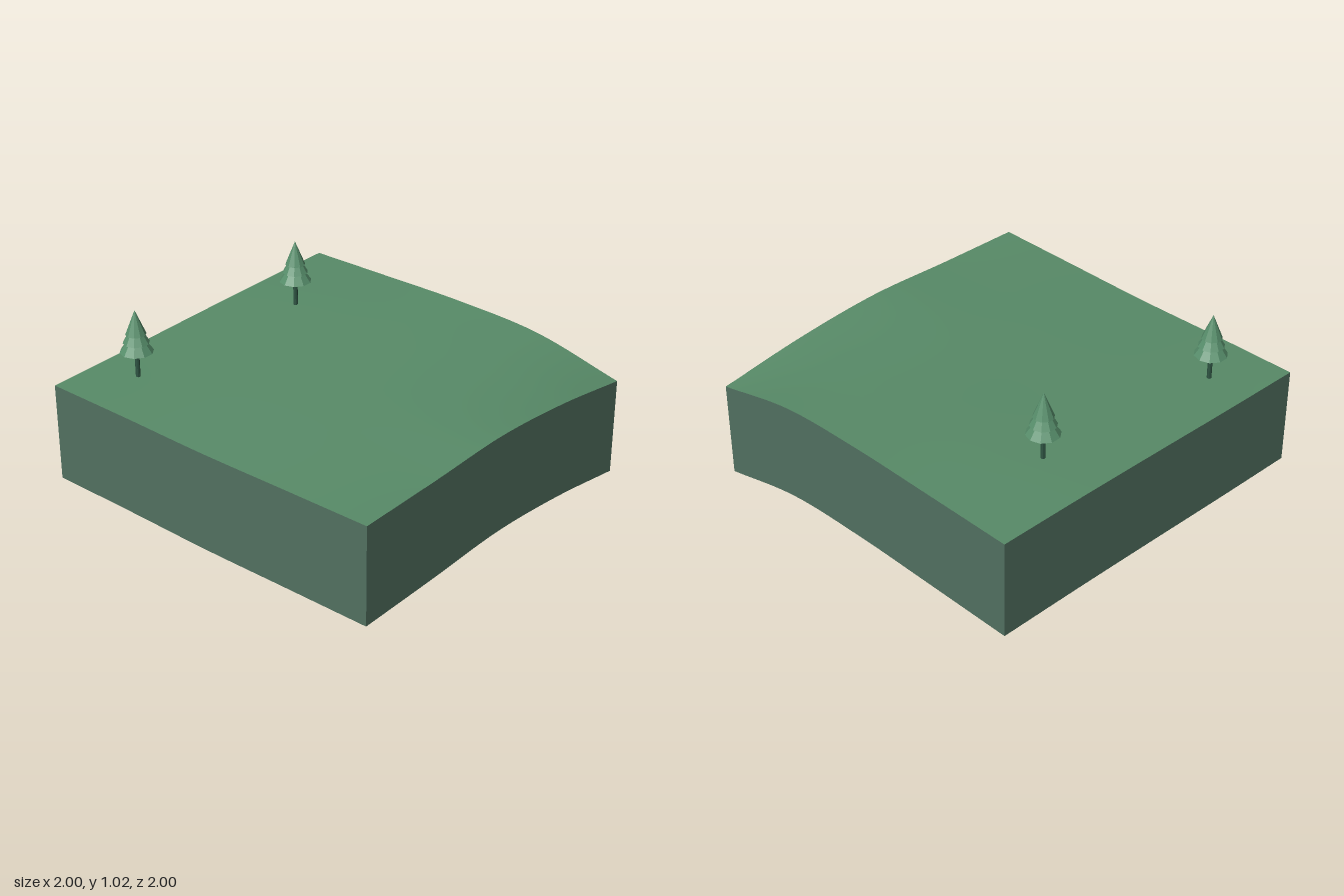
import * as THREE from 'three';

const SKIRT = 0.53;
const SEG = 32;

// Control heights of the rolling ground: rows run back to front, columns run along +x
const HEIGHTS = [
  [0.670, 0.674, 0.675, 0.648, 0.535],
  [0.665, 0.667, 0.667, 0.655, 0.610],
  [0.655, 0.655, 0.655, 0.655, 0.651],
  [0.643, 0.643, 0.643, 0.643, 0.641],
  [0.635, 0.632, 0.625, 0.630, 0.635],
];

// Smooth interpolation through five evenly spaced values, t in -1..1
function spline(v, t) {
  const s = (t + 1) * 2;
  const i = Math.min(3, Math.max(0, Math.floor(s)));
  const f = s - i;
  const b = v[i], c = v[i + 1];
  const a = i > 0 ? v[i - 1] : 2 * b - c;
  const d = i < 3 ? v[i + 2] : 2 * c - b;
  return b + 0.5 * f * (c - a + f * (2 * a - 5 * b + 4 * c - d + f * (3 * (b - c) + d - a)));
}

const groundHeight = (x, z) => spline(HEIGHTS.map((row) => spline(row, x)), z);

export function createModel() {
  const group = new THREE.Group();
  const material = (name, color, side = THREE.FrontSide, flatShading = false) =>
    new THREE.MeshStandardMaterial({ name, color, side, flatShading });
  const grass = material('grass green', 0x588b68, THREE.DoubleSide);
  const earth = material('earth grey green', 0x527161, THREE.DoubleSide);
  const needles = material('needle green', 0x588f6c, THREE.FrontSide, true);
  const bark = material('bark dark green', 0x2f5443, THREE.FrontSide, true);

  const add = (parent, geometry, mat, name) => {
    const mesh = new THREE.Mesh(geometry, mat);
    mesh.name = name;
    parent.add(mesh);
    return mesh;
  };

  // Curved ground surface
  const ground = new THREE.PlaneGeometry(2, 2, SEG, SEG).rotateX(-Math.PI / 2);
  const gp = ground.attributes.position;
  for (let i = 0; i < gp.count; i++) gp.setY(i, groundHeight(gp.getX(i), gp.getZ(i)));
  ground.computeVertexNormals();
  add(group, ground, grass, 'ground');

  // Four skirt walls that follow the ground edge, open underneath
  ['frontWall', 'leftWall', 'backWall', 'rightWall'].forEach((name, k) => {
    const wall = new THREE.PlaneGeometry(2, 2, SEG, 1).translate(0, 0, 1).rotateY(k * Math.PI / 2);
    const p = wall.attributes.position;
    for (let i = 0; i < p.count; i++) {
      const drop = p.getY(i) > 0 ? 0 : SKIRT;
      p.setY(i, groundHeight(p.getX(i), p.getZ(i)) - drop);
    }
    add(group, wall, earth, name);
  });

  // Conifers: a thin trunk below three stacked tiers
  const tiers = [
    { y: 0.14, h: 0.05, bottom: 0.086, top: 0.052 },
    { y: 0.19, h: 0.045, bottom: 0.068, top: 0.042 },
    { y: 0.235, h: 0.13, bottom: 0.053, top: 0 },
  ];
  [[-0.75, 0.67, 0.64], [-0.665, -0.42, 0.665]].forEach(([x, z, y], n) => {
    const tree = new THREE.Group();
    tree.name = n ? 'backTree' : 'frontTree';
    tree.position.set(x, y, z);
    add(tree, new THREE.CylinderGeometry(0.012, 0.012, 0.16, 8), bark, 'trunk').position.y = 0.07;
    tiers.forEach((t, i) => {
      add(tree, new THREE.CylinderGeometry(t.top, t.bottom, t.h, 10), needles, `foliageTier${i + 1}`)
        .position.y = t.y + t.h / 2;
    });
    group.add(tree);
  });

  return group;
}
